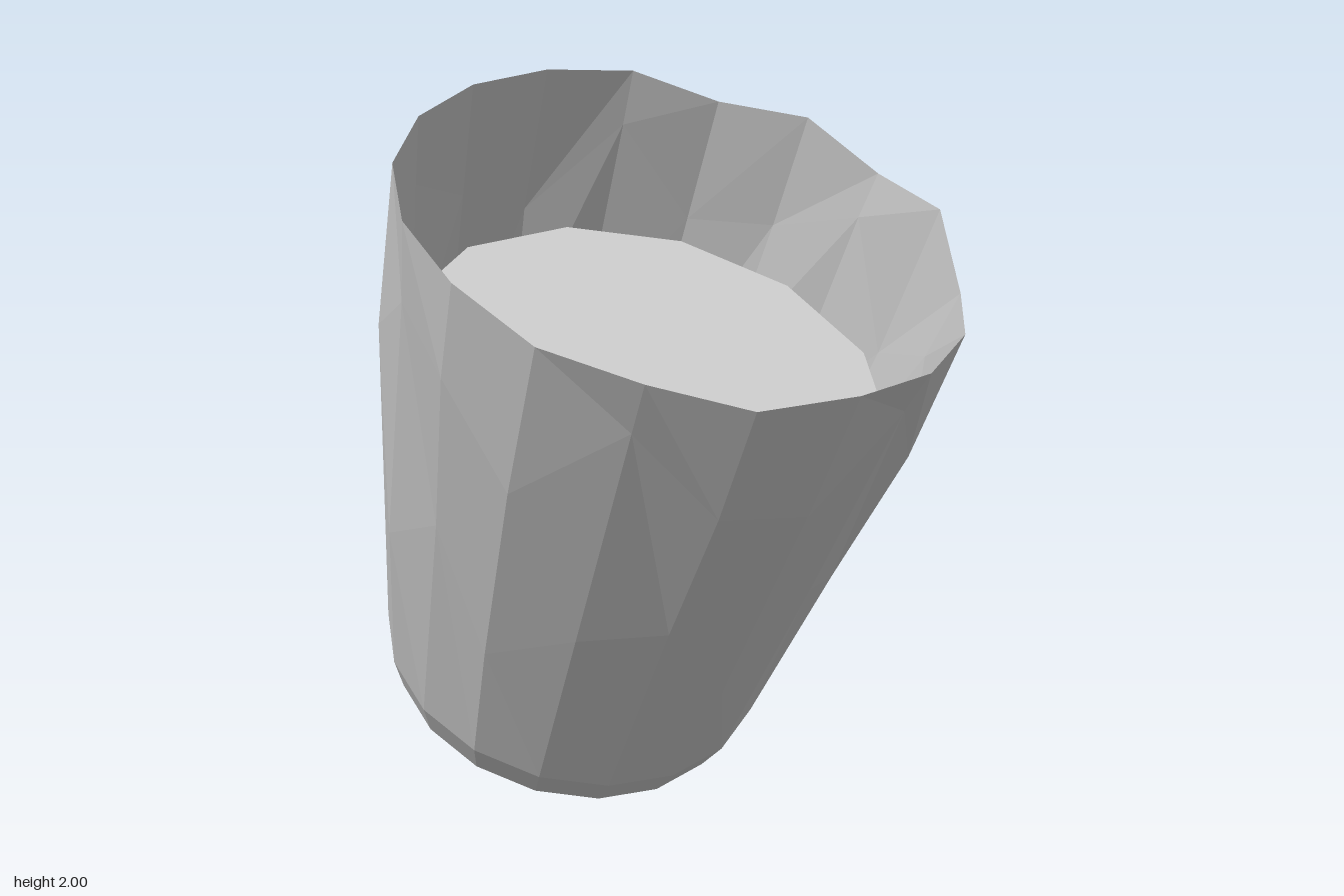
import * as THREE from 'three';

const SIDES = 18;
const TILT = 0.534;

// height missing from the uneven rim at each side, clockwise from the left (+x)
const RIM_DIPS = [0, 0.045, 0, 0.045, 0, 0, 0, 0, 0, 0, 0, 0.02, 0.01, 0.035, 0.01, 0.03, 0.05, 0.09];

// radius and height along the cup's axis, from the base centre to the rim
const PROFILE = [
  [0.001, -0.05], [0.42, -0.063], [0.515, -0.03], [0.557, 0.075],
  [0.637, 0.65], [0.708, 1.25], [0.733, 1.567],
];

function cupGeometry() {
  const points = PROFILE.map(([r, y]) => new THREE.Vector2(r, y));
  const geo = new THREE.LatheGeometry(points, SIDES, Math.PI / 2);
  const pos = geo.attributes.position;
  const rim = PROFILE.length - 1;
  for (let i = 0; i <= SIDES; i++) {
    const side = i % SIDES;
    // lower the rim by its dip
    const top = i * PROFILE.length + rim;
    pos.setY(top, pos.getY(top) - RIM_DIPS[side]);
    // stagger the middle rings so the wall breaks into uneven facets
    for (const ring of [4, 5]) {
      const k = i * PROFILE.length + ring;
      pos.setY(k, pos.getY(k) + 0.16 * Math.sin(side * 2.3 + ring));
      const s = 1 + 0.008 * Math.sin(side * 4.1 + ring);
      pos.setX(k, pos.getX(k) * s);
      pos.setZ(k, pos.getZ(k) * s);
    }
  }
  geo.computeVertexNormals();
  return geo;
}

export function createModel() {
  const material = new THREE.MeshStandardMaterial({
    color: 0xcccccc, flatShading: true, side: THREE.DoubleSide,
  });
  const model = new THREE.Group();
  model.name = 'tiltedCup';

  // cup wall and base
  const cup = new THREE.Mesh(cupGeometry(), material);
  cup.name = 'cup';

  // flat surface of the contents, across the axis
  const fill = new THREE.Mesh(new THREE.CircleGeometry(0.655, 12), material);
  fill.name = 'contents';
  fill.rotation.x = -Math.PI / 2;
  fill.position.y = 1.1;

  // lean the whole cup toward the front
  const lean = new THREE.Group();
  lean.name = 'leaningCup';
  lean.add(cup, fill);
  lean.rotation.x = TILT;
  lean.position.set(0, 0.288, -0.49);
  model.add(lean);
  return model;
}
